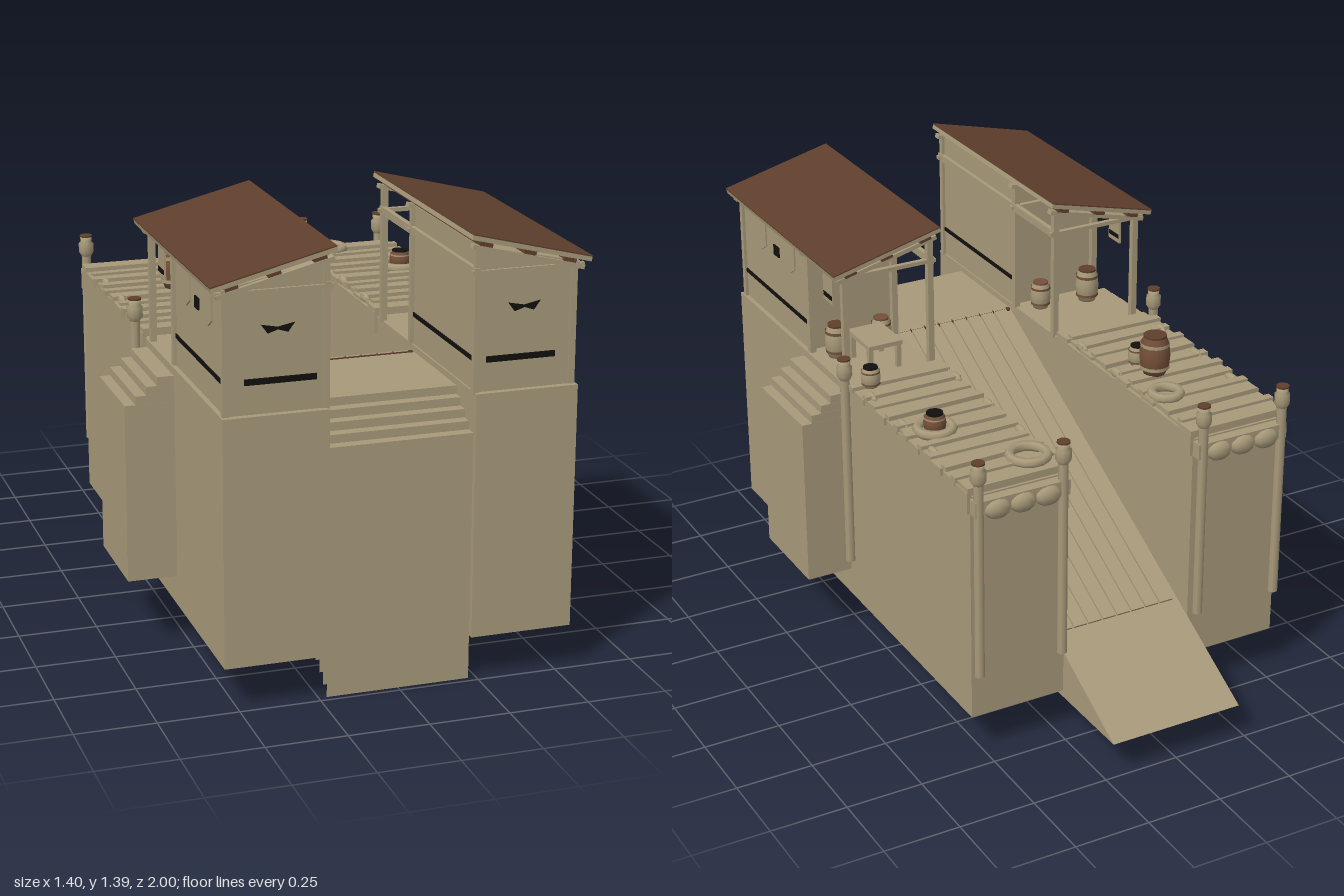
import * as THREE from 'three';

const mat = (name, color, side = THREE.DoubleSide) => {
  const m = new THREE.MeshStandardMaterial({ color, side });
  m.name = name;
  return m;
};

export function createModel() {
  const tan = mat('sandy wood', 0xa89a7a);
  const brown = mat('roof brown', 0x5f3f2d);
  const clay = mat('clay brown', 0x765039);
  const black = mat('black', 0x11100e);
  const root = new THREE.Group();
  root.name = 'dock';

  const add = (name, geo, m, x = 0, y = 0, z = 0, parent = root) => {
    const mesh = new THREE.Mesh(geo, m);
    mesh.name = name;
    mesh.position.set(x, y, z);
    parent.add(mesh);
    return mesh;
  };
  // box given by its limits
  const box = (name, m, x0, x1, y0, y1, z0, z1) =>
    add(name, new THREE.BoxGeometry(Math.abs(x1 - x0), y1 - y0, z1 - z0), m, (x0 + x1) / 2, (y0 + y1) / 2, (z0 + z1) / 2);
  // box without its underside
  const openBox = (name, ...lim) => {
    const mesh = box(name, tan, ...lim);
    const g = mesh.geometry, idx = Array.from(g.index.array);
    idx.splice(18, 6);
    g.setIndex(idx);
    g.clearGroups();
    return mesh;
  };
  const prism = (pts, depth) =>
    new THREE.ExtrudeGeometry(new THREE.Shape(pts.map(p => new THREE.Vector2(...p))), { depth, bevelEnabled: false });

  // barrel or pot with bands and a lid
  const barrel = (x, y, z, r, h, lid, body = tan) => {
    const g = new THREE.Group();
    g.name = 'barrel';
    g.position.set(x, y, z);
    root.add(g);
    const pts = [[0, 0], [0.7, 0], [0.92, 0.22], [1, 0.5], [0.92, 0.78], [0.72, 1]].map(p => new THREE.Vector2(p[0] * r, p[1] * h));
    add('barrelBody', new THREE.LatheGeometry(pts, 14), body, 0, 0, 0, g);
    add('barrelLid', new THREE.CylinderGeometry(r * 0.74, r * 0.74, 0.008, 14), lid, 0, h, 0, g);
    for (const t of [0.2, 0.8])
      add('barrelBand', new THREE.CylinderGeometry(r * 0.95, r * 0.95, h * 0.09, 14, 1, true), body === tan ? clay : tan, 0, h * t, 0, g);
  };
  const ropeCoil = (x, y, z, r) => {
    const c = add('ropeCoil', new THREE.TorusGeometry(r, 0.016, 6, 14), tan, x, y, z);
    c.rotation.x = Math.PI / 2;
  };
  // mooring pole with a bulbous cap
  const pole = (x, z) => {
    add('mooringPole', new THREE.CylinderGeometry(0.016, 0.016, 0.68, 8), tan, x, 0.64, z);
    const cap = [[0.016, 0], [0.025, 0.015], [0.025, 0.045], [0.018, 0.052], [0.02, 0.068], [0, 0.07]];
    add('poleCap', new THREE.LatheGeometry(cap.map(p => new THREE.Vector2(...p)), 10), tan, x, 0.955, z);
    add('poleTop', new THREE.CylinderGeometry(0.021, 0.021, 0.006, 10), brown, x, 1.026, z);
  };

  // central body: landing and ramp, profile in z and y
  const body = add('rampBody', prism([[0.84, 0.1], [-1, 0.12], [0.48, 0.885], [0.84, 0.885]], 0.45), tan, 0.225);
  body.rotation.y = -Math.PI / 2;
  body.position.x = 0.225;

  // front stairs: treads with tall risers
  for (let i = 1; i <= 4; i++) {
    const top = 0.885 - i * 0.026, z = 0.84 + i * 0.035;
    add('stairRiser', new THREE.PlaneGeometry(0.45, top - 0.1 + i * 0.025), tan, 0, (top + 0.1 - i * 0.025) / 2, z);
    add('stairTread', new THREE.PlaneGeometry(0.45, 0.035), tan, 0, top, z - 0.0175).rotation.x = -Math.PI / 2;
  }

  // ramp planks lie along the slope
  const slope = Math.atan2(0.765, 1.48);
  for (let i = 0; i < 8; i++) {
    const p = add('rampPlank', new THREE.BoxGeometry(0.046, 0.012, 1.11 / Math.cos(slope)), tan, -0.182 + i * 0.052, 0.6, -0.075);
    p.rotation.x = -slope;
  }
  box('rampTopBeam', brown, -0.22, 0.22, 0.875, 0.889, 0.47, 0.482);

  for (const s of [1, -1]) {
    // pier block with edge trim
    openBox('pierBlock', s * 0.225, s * 0.545, 0.14, 0.905, -0.69, 1);
    box('edgeTrim', tan, s * 0.54, s * 0.555, 0.85, 0.92, -0.69, 0.14);
    box('edgeTrim', tan, s * 0.215, s * 0.23, 0.85, 0.92, -0.69, 0.14);

    // side steps
    for (let i = 0; i < 4; i++)
      openBox('sideStep', s * 0.54, s * (0.7 - i * 0.034), 0.235, 0.8 + i * 0.027, 0.16 + i * 0.0005, 0.48 - i * 0.0005);

    // dock planks with slight unevenness
    for (let i = 0; i < 11; i++) {
      const z = -0.69 + i * 0.076, j = ((i * 7) % 5 - 2) * 0.003;
      box('dockPlank', tan, s * (0.222 + j), s * (0.558 + j), 0.91, 0.928 + Math.abs(j), z, z + 0.07);
      if (i > 0) box('dockBatten', tan, s * (0.225 - j), s * (0.56 - j), 0.925, 0.943, z - 0.012, z + 0.016).rotation.y = j * 4;
    }
    // rope bumpers along the edges
    for (const z of [-0.43, -0.22, 0]) {
      for (const x of [0.232, 0.53])
        add('bumper', new THREE.SphereGeometry(1, 8, 6), tan, s * x, 0.93, z).scale.set(0.013, 0.018, 0.035);
    }
    // rear beam, bumper and poles
    box('rearBeam', tan, s * 0.225, s * 0.545, 0.85, 0.9, -0.725, -0.69);
    for (const x of [0.3, 0.385, 0.47])
      add('rearBumper', new THREE.SphereGeometry(1, 8, 6), tan, s * x, 0.865, -0.725).scale.set(0.045, 0.032, 0.02);
    pole(s * 0.245, -0.715);
    pole(s * 0.53, -0.715);
    pole(s * 0.57, 0.11);

    // hut with a sloping top
    add('hutWalls', prism([[s * 0.23, 0.905], [s * 0.53, 0.905], [s * 0.53, 1.28], [s * 0.23, 1.345]], 0.52), tan, 0, 0, 0.46);
    for (const x of [0.23, 0.53])
      for (const z of [0.975, 0.445, 0.18])
        box('roofPost', tan, s * (x - 0.01), s * (x + 0.01), 0.9, x < 0.4 ? 1.345 : 1.28, z - 0.01, z + 0.01);
    // horizontal beams
    for (const z of [0.98, 0.445, 0.18])
      box('crossBeam', tan, s * 0.21, s * 0.56, 1.26, 1.273, z - 0.008, z + 0.008);
    for (const x of [0.225, 0.535])
      box('longBeam', tan, s * (x - 0.008), s * (x + 0.008), 1.255, 1.28, 0.17, 0.99);
    // dark line round the hut
    box('hutStripe', black, s * 0.26, s * 0.475, 0.994, 1.012, 0.979, 0.985);
    box('hutStripe', black, s * 0.529, s * 0.534, 0.994, 1.007, 0.46, 0.98);
    box('hutStripe', black, s * 0.226, s * 0.231, 0.994, 1.007, 0.46, 0.98);
    // small dark openings
    const bow = [[-0.05, 0.014], [0, 0.004], [0.05, 0.014], [0.03, -0.013], [0, -0.003], [-0.03, -0.013]];
    add('frontVent', prism(bow, 0.005), black, s * 0.375, 1.155, 0.979);
    box('sideVent', black, s * 0.529, s * 0.535, 1.15, 1.185, 0.68, 0.72);
    // pointed hangings on the outer wall
    for (const z of [0.82, 0.59]) {
      const b = add('wallHanging', prism([[-0.04, 0.15], [0.04, 0.15], [0.04, 0.025], [0, 0], [-0.04, 0.025]], 0.005), tan, s * 0.531, 1.13, z);
      b.rotation.y = s * Math.PI / 2;
    }
    // hanging sign under the porch roof
    box('hangingCloth', tan, s * 0.526, s * 0.532, 1.14, 1.26, 0.265, 0.335);
    box('clothStripe', black, s * 0.525, s * 0.534, 1.155, 1.17, 0.27, 0.33);

    // lean-to roof
    const roof = new THREE.Group();
    roof.name = 'roof';
    roof.position.set(s * 0.39, 1.33, 0.575);
    roof.rotation.z = -s * 0.245;
    root.add(roof);
    add('roofBoard', new THREE.BoxGeometry(0.385, 0.014, 0.85), tan, 0, 0, 0, roof);
    add('roofCover', new THREE.BoxGeometry(0.385, 0.004, 0.852), brown, 0, 0.009, 0, roof);
    for (const x of [-0.14, 0, 0.13])
      add('roofPurlin', new THREE.BoxGeometry(0.04, 0.016, 0.83), brown, s * x, -0.014, 0, roof);
    for (const z of [-0.395, -0.13, 0.405])
      add('roofRafter', new THREE.BoxGeometry(0.36, 0.014, 0.025), tan, 0, -0.028, z, roof);

    // porch barrels
    barrel(s * 0.47, 0.905, 0.38, 0.04, 0.11, brown);
    barrel(s * 0.3, 0.905, 0.4, 0.035, 0.09, clay);
  }

  // porch table on the left pier
  box('tableTop', tan, 0.32, 0.44, 0.985, 1, 0.2, 0.36);
  for (const x of [0.33, 0.43])
    for (const z of [0.215, 0.345])
      box('tableLeg', tan, x - 0.008, x + 0.008, 0.905, 0.99, z - 0.008, z + 0.008);

  // goods on the docks
  barrel(-0.33, 0.94, -0.29, 0.05, 0.13, brown, clay);
  barrel(-0.32, 0.935, -0.2, 0.03, 0.065, black);
  barrel(0.5, 0.935, 0.065, 0.032, 0.065, black);
  barrel(0.465, 0.935, -0.31, 0.036, 0.06, black, clay);
  ropeCoil(-0.28, 0.945, -0.44, 0.045);
  ropeCoil(0.3, 0.945, -0.6, 0.058);
  ropeCoil(0.465, 0.945, -0.31, 0.055);

  return root;
}
